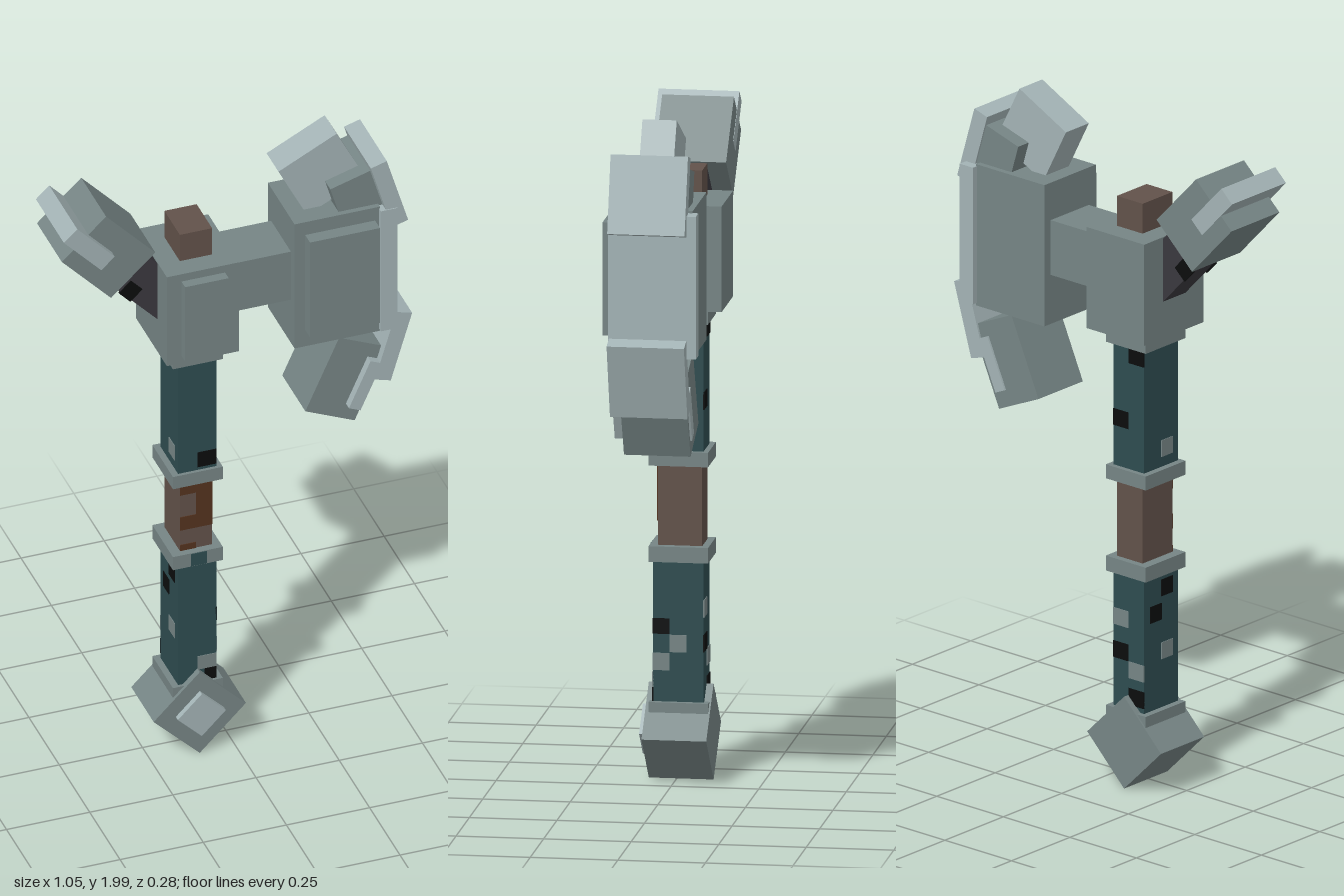
import * as THREE from 'three';

const mat = (name, color) => {
  const m = new THREE.MeshStandardMaterial({ color });
  m.name = name;
  return m;
};

export function createModel() {
  const steel = mat('steel', 0x768585);
  const bright = mat('brightSteel', 0xa3b3b5);
  const teal = mat('tealShaft', 0x2e4c50);
  const brown = mat('brownWood', 0x62524a);
  const darkBrown = mat('darkBrownWood', 0x54331f);
  const iron = mat('darkIron', 0x3a383e);
  const black = mat('black', 0x0b0d0d);

  const model = new THREE.Group();
  model.name = 'battleAxe';

  // Box from its front centre, size, depth range and tilt in degrees
  const box = (name, m, x, y, w, h, z0, z1, tilt = 0) => {
    const mesh = new THREE.Mesh(new THREE.BoxGeometry(w, h, z1 - z0), m);
    mesh.name = name;
    mesh.position.set(x, y, (z0 + z1) / 2);
    mesh.rotation.z = THREE.MathUtils.degToRad(tilt);
    model.add(mesh);
    return mesh;
  };
  // Upright box from its x, y and z ranges
  const span = (name, m, x0, x1, y0, y1, z0, z1) =>
    box(name, m, (x0 + x1) / 2, (y0 + y1) / 2, x1 - x0, y1 - y0, z0, z1);

  // Handle
  const cx = -0.107;
  span('innerRod', brown, -0.155, -0.058, 0.64, 1.77, -0.08, 0.047);
  span('lowerShaft', teal, -0.165, -0.05, 0.2, 0.64, -0.085, 0.06);
  span('upperShaft', teal, -0.165, -0.05, 0.96, 1.34, -0.085, 0.06);
  for (const [y0, y1] of [[0.2, 0.235], [0.64, 0.685], [0.918, 0.96], [1.33, 1.378]])
    span('shaftRing', steel, -0.184, -0.034, y0, y1, -0.1, 0.07);

  // Diamond pommel
  box('pommel', steel, cx, 0.14, 0.196, 0.196, -0.105, 0.08, 45);
  box('pommelPlate', bright, cx, 0.142, 0.102, 0.102, 0.08, 0.097, 45);

  // Head and neck
  span('headBlock', steel, -0.217, 0, 1.375, 1.68, -0.144, 0.11);
  span('headPlate', steel, -0.173, -0.042, 1.4, 1.655, 0.11, 0.14);
  span('neck', steel, -0.01, 0.18, 1.48, 1.645, -0.1, 0.063);

  // Axe blade
  span('bladeBlock', steel, 0.173, 0.43, 1.332, 1.758, -0.127, 0.093);
  span('bladePlate', steel, 0.205, 0.415, 1.388, 1.714, 0.093, 0.133);
  span('bladeEdge', bright, 0.427, 0.477, 1.34, 1.752, -0.143, 0.108);
  box('upperBladeBlock', steel, 0.38, 1.78, 0.145, 0.17, -0.11, 0.077, 16.5);
  box('upperBladeEdge', bright, 0.454, 1.803, 0.05, 0.226, -0.116, 0.105, 16.5);
  box('upperSpike', bright, 0.277, 1.866, 0.196, 0.19, -0.065, 0.033, 27);
  box('lowerBladeBlock', steel, 0.335, 1.18, 0.162, 0.25, -0.11, 0.08, -24);
  box('lowerBladeEdge', bright, 0.466, 1.278, 0.05, 0.226, -0.116, 0.105, -16.5);
  box('lowerBladeStrip', bright, 0.382, 1.162, 0.038, 0.16, -0.116, 0.105, -24);

  // Hammer on the slanted arm
  box('hammerArm', iron, -0.246, 1.612, 0.13, 0.25, -0.063, 0.032, 43);
  box('hammer', steel, -0.383, 1.772, 0.182, 0.217, -0.12, 0.085, 43);
  box('hammerStrip', bright, -0.45, 1.83, 0.055, 0.165, -0.121, 0.11, 43);
  for (const z of [-0.063, 0.032])
    box('armMark', black, -0.298, 1.602, 0.05, 0.05, z - 0.003, z + 0.003, 43);

  // Painted squares: thin plates on one side of the handle; u runs along x or z
  const patch = (side, m, u0, u1, y0, y1, grip = false) => {
    const at = grip
      ? { front: 0.047, back: -0.08, left: -0.058, right: -0.155 }[side]
      : { front: 0.06, back: -0.085, left: -0.05, right: -0.165 }[side];
    const a = at - 0.002, b = at + 0.002;
    if (side === 'front' || side === 'back') span('paintSquare', m, u0, u1, y0, y1, a, b);
    else span('paintSquare', m, a, b, y0, y1, u0, u1);
  };
  patch('front', black, cx, -0.05, 0.97, 1.02);
  patch('front', steel, cx, -0.05, 0.275, 0.32);
  patch('front', black, -0.085, -0.05, 0.235, 0.275);
  patch('left', black, 0.012, 0.06, 0.43, 0.475);
  patch('left', steel, -0.036, 0.012, 0.378, 0.428);
  patch('left', steel, 0.012, 0.06, 0.325, 0.375);
  patch('left', black, -0.036, 0.012, 1.08, 1.13);
  patch('back', black, -0.165, cx, 1.28, 1.33);
  patch('back', black, cx, -0.05, 1.08, 1.13);
  patch('back', black, cx, -0.05, 0.38, 0.43);
  patch('back', steel, cx, -0.05, 0.48, 0.53);
  patch('back', steel, -0.165, cx, 0.33, 0.38);
  patch('back', black, -0.165, cx, 0.25, 0.3);
  patch('right', steel, -0.012, 0.036, 0.99, 1.04);
  patch('right', black, -0.012, 0.036, 0.57, 0.62);
  patch('right', black, -0.06, -0.012, 0.5, 0.55);
  patch('right', steel, -0.012, 0.036, 0.38, 0.43);

  // Worn grip wrapping
  patch('front', darkBrown, cx, -0.058, 0.8, 0.918, true);
  patch('front', darkBrown, -0.155, cx, 0.875, 0.918, true);
  patch('front', darkBrown, -0.155, -0.058, 0.755, 0.8, true);
  patch('front', darkBrown, -0.155, cx, 0.685, 0.705, true);
  span('ringPaint', teal, -0.13, -0.083, 0.642, 0.683, 0.068, 0.072);

  return model;
}
